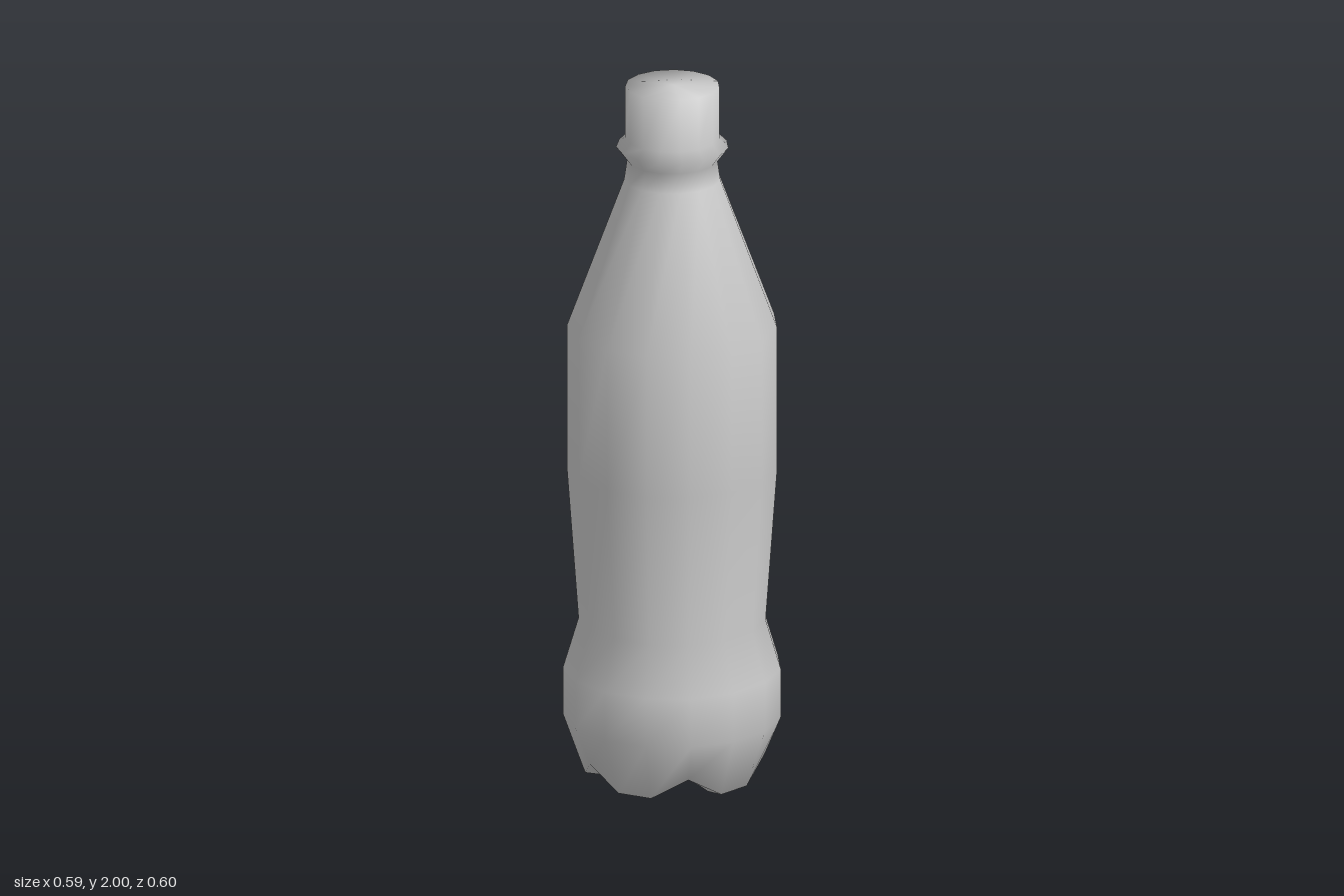
import * as THREE from 'three';

const SIDES = 15;

// Rings from the underside up: [radius, height, valley radius, valley height]
const RINGS = [
  [0.175, 0.0, 0.17, 0.055],  // inner edge of the feet
  [0.24, 0.01, 0.255, 0.07],  // outer edge of the feet
  [0.3, 0.18],                // base bulge
  [0.3, 0.32],
  [0.258, 0.46],              // waist
  [0.29, 0.9],                // straight body
  [0.29, 1.31],               // shoulder
  [0.133, 1.73],              // neck
  [0.125, 1.785],
  [0.155, 1.825],             // neck collar
  [0.13, 1.85],               // cap
  [0.13, 2.0],
];

function bottleGeometry() {
  const positions = [];
  const index = [];
  for (const [r, y, valleyR = r, valleyY = y] of RINGS) {
    for (let k = 0; k < SIDES; k++) {
      const a = (k / SIDES) * Math.PI * 2;
      const valley = k % 3 === 1; // five valleys separate five feet
      const radius = valley ? valleyR : r;
      positions.push(Math.cos(a) * radius - 0.003, valley ? valleyY : y, Math.sin(a) * radius);
    }
  }
  const bottom = RINGS.length * SIDES;
  const top = bottom + 1;
  positions.push(0, 0.06, 0, 0, 2, 0);

  const last = (RINGS.length - 1) * SIDES;
  for (let k = 0; k < SIDES; k++) {
    const n = (k + 1) % SIDES;
    // Wall between neighbouring rings
    for (let base = 0; base < last; base += SIDES) {
      const a = base + k, b = base + n, c = a + SIDES, d = b + SIDES;
      index.push(a, c, b, b, c, d);
    }
    // Raised underside and flat cap top
    index.push(bottom, k, n, top, last + n, last + k);
  }

  const geometry = new THREE.BufferGeometry();
  geometry.setAttribute('position', new THREE.Float32BufferAttribute(positions, 3));
  geometry.setIndex(index);
  geometry.computeVertexNormals();
  return geometry;
}

export function createModel() {
  const group = new THREE.Group();
  group.name = 'bottle';
  const body = new THREE.Mesh(
    bottleGeometry(),
    new THREE.MeshStandardMaterial({ color: 0xcccccc }),
  );
  body.name = 'bottleBody';
  group.add(body);
  return group;
}
